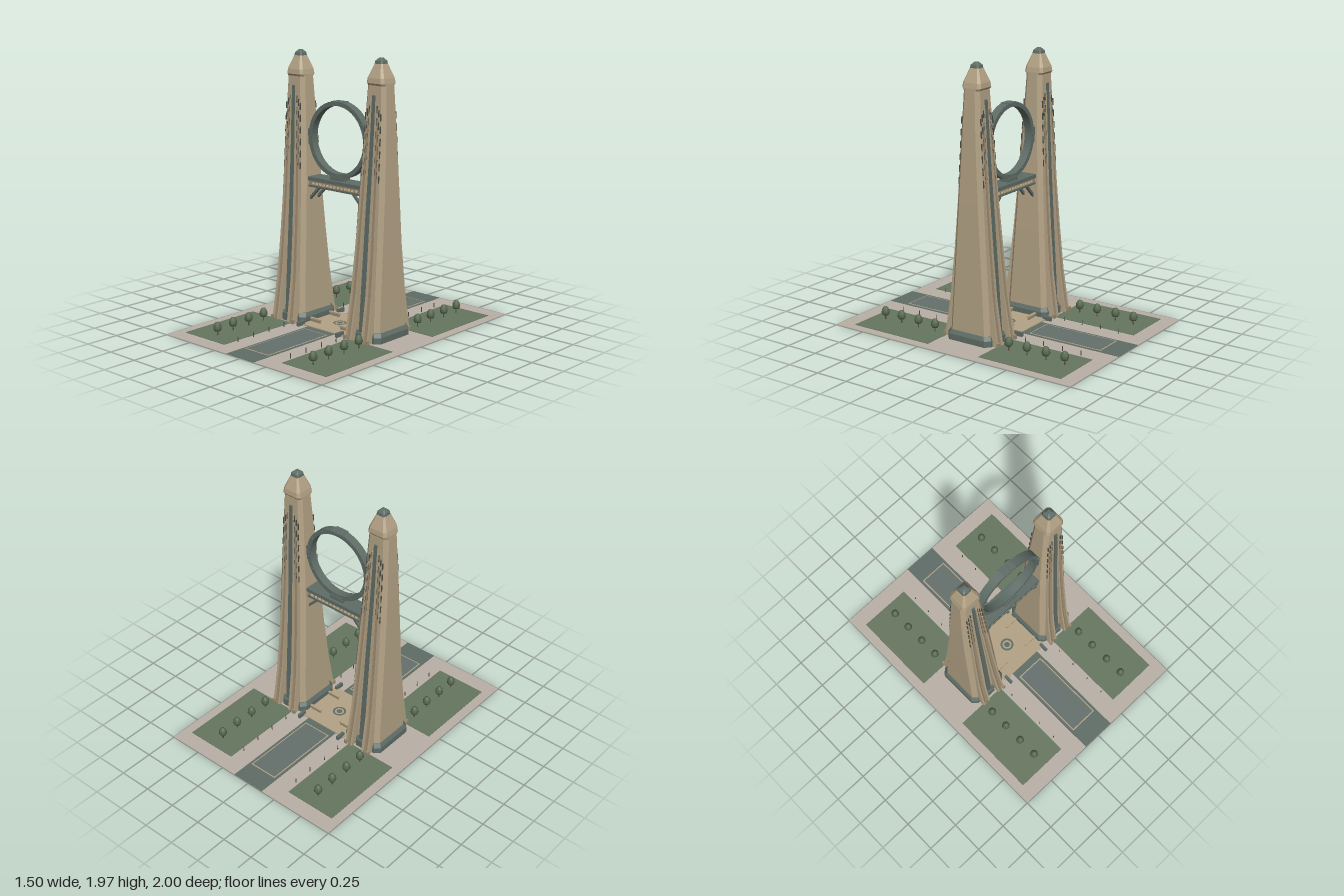
import * as THREE from 'three';

const mat = (name, color) => {
  const m = new THREE.MeshStandardMaterial({ color });
  m.name = name;
  return m;
};

export function createModel() {
  const M = {
    stone: mat('sandstone', 0xb3a285),
    rib: mat('rib stone', 0x9c8b70),
    metal: mat('grey green metal', 0x5f6c66),
    dark: mat('dark slit', 0x4b4d45),
    paving: mat('paving', 0xb9afa5),
    lawn: mat('lawn', 0x66765f),
    pool: mat('pool water', 0x64706d),
    glow: mat('warm window', 0xd6c59c),
    leaf: mat('foliage', 0x56694f),
    trunk: mat('bark', 0x5f5140),
  };
  const root = new THREE.Group();
  root.name = 'twinTowerMonument';

  const add = (parent, name, geo, m, x = 0, y = 0, z = 0) => {
    const mesh = new THREE.Mesh(geo, m);
    mesh.name = name;
    mesh.position.set(x, y, z);
    parent.add(mesh);
    return mesh;
  };
  const box = (parent, name, m, w, h, d, x, y, z) =>
    add(parent, name, new THREE.BoxGeometry(w, h, d), m, x, y, z);

  // Flat-faced loft through horizontal rings, closed at both ends
  const loft = (rings) => {
    const out = [];
    const tri = (a, b, c) => out.push(...a, ...b, ...c);
    const n = rings[0].length;
    for (let r = 0; r < rings.length - 1; r++) {
      for (let i = 0; i < n; i++) {
        const j = (i + 1) % n, lo = rings[r], hi = rings[r + 1];
        tri(lo[i], lo[j], hi[j]);
        tri(lo[i], hi[j], hi[i]);
      }
    }
    const top = rings[rings.length - 1], bot = rings[0];
    for (let i = 1; i < n - 1; i++) {
      tri(top[0], top[i], top[i + 1]);
      tri(bot[0], bot[i + 1], bot[i]);
    }
    const g = new THREE.BufferGeometry();
    g.setAttribute('position', new THREE.Float32BufferAttribute(out, 3));
    g.computeVertexNormals();
    return g;
  };
  const rect = (x, y, z, w, d) => [
    [x - w, y, z + d], [x + w, y, z + d], [x + w, y, z - d], [x - w, y, z - d]];
  const octagon = (x, y, w, d, c) => [
    [-w + c, d], [w - c, d], [w, d - c], [w, -d + c],
    [w - c, -d], [-w + c, -d], [-w, -d + c], [-w, d - c],
  ].map(([a, b]) => [x + a, y, b]);

  // Tower profile: y, centre x, half width, half depth, outer rib depth
  const profile = [
    [0.00, 0.357, 0.143, 0.172, 0.232],
    [0.10, 0.358, 0.140, 0.166, 0.215],
    [0.33, 0.360, 0.134, 0.152, 0.180],
    [0.65, 0.363, 0.127, 0.131, 0.149],
    [1.00, 0.367, 0.118, 0.109, 0.121],
    [1.30, 0.372, 0.106, 0.091, 0.102],
    [1.50, 0.375, 0.097, 0.081, 0.090],
    [1.80, 0.378, 0.081, 0.066, 0.073],
  ];
  const at = (y) => {
    let k = 0;
    while (k < profile.length - 2 && profile[k + 1][0] < y) k++;
    const a = profile[k], b = profile[k + 1], t = (y - a[0]) / (b[0] - a[0]);
    return a.map((v, i) => v + (b[i] - v) * t);
  };
  const levels = (y0, y1) => [y0, ...profile.map((p) => p[0]).filter((y) => y > y0 && y < y1), y1];

  for (const s of [1, -1]) {
    const tower = new THREE.Group();
    tower.name = s > 0 ? 'leftTower' : 'rightTower';
    root.add(tower);

    add(tower, 'shaft', loft(profile.map(([y, cx, w, d]) =>
      octagon(s * cx, y, w, d, 0.02 + w * 0.08))), M.stone);
    add(tower, 'plinth', loft([[0, 0.162, 0.185], [0.048, 0.162, 0.185], [0.075, 0.148, 0.172]]
      .map(([y, w, d]) => octagon(s * 0.358, y, w, d, 0.035))), M.metal);
    add(tower, 'crown', loft([[1.785, 0.079, 0.066], [1.8, 0.08, 0.077], [1.835, 0.073, 0.073], [1.935, 0.034, 0.034]]
      .map(([y, w, d]) => octagon(s * 0.378, y, w, d, w * 0.25))), M.stone);
    add(tower, 'finial', loft([[1.93, 0.037], [1.95, 0.033], [1.97, 0.012]]
      .map(([y, w]) => octagon(s * 0.378, y, w, w, w * 0.3))), M.metal);

    for (const f of [1, -1]) {
      // Central metal spine
      add(tower, 'spine', loft(levels(0.03, 1.72).map((y) => {
        const [, cx, , d] = at(y);
        return rect(s * cx, y, f * d, 0.019 - y * 0.005, 0.011);
      })), M.metal);
      box(tower, 'spineFoot', M.metal, 0.06, 0.06, 0.04, s * 0.357, 0.03, f * 0.18);

      for (const e of [1, -1]) {
        // Flaring ribs, spreading towards the ground
        for (let i = 0; i < 3; i++) {
          const offset = (y) => {
            const t = y / 1.7;
            return e * ((0.052 + 0.025 * i) * (1 - t) + (0.022 + 0.016 * i) * t);
          };
          add(tower, 'rib', loft(levels(0, 1.66 - i * 0.1).map((y) => {
            const [, cx, , d, o] = at(y);
            const inner = d - 0.02, outer = o - 0.002 * i;
            return rect(s * cx + offset(y), y, f * (inner + outer) / 2, 0.0075 - y * 0.0015, (outer - inner) / 2);
          })), i === 1 ? M.rib : M.stone);

          // Window slits between the ribs
          for (let k = 0; k < 6; k++) {
            const y = 1.2 + k * 0.085 - i * 0.025, [, cx, , d] = at(y);
            const slit = box(tower, 'windowSlit', M.dark, 0.006, 0.05, 0.008,
              s * cx + offset(y) + e * 0.0095, y, f * (d + 0.002));
            slit.rotation.x = -f * 0.06;
          }
        }
        box(tower, 'ribFoot', M.rib, 0.022, 0.035, 0.018, s * 0.357 + e * 0.102, 0.0175, f * 0.23);
      }
    }
  }

  // Great ring with its bolts and clamps
  const ring = new THREE.Group();
  ring.name = 'ring';
  ring.position.y = 1.36;
  root.add(ring);
  const hoop = new THREE.Shape().absarc(0, 0, 0.275, 0, Math.PI * 2);
  hoop.holes.push(new THREE.Path().absarc(0, 0, 0.243, 0, Math.PI * 2, true));
  add(ring, 'hoop', new THREE.ExtrudeGeometry(hoop, { depth: 0.06, bevelEnabled: false, curveSegments: 32 }),
    M.metal, 0, 0, -0.03);
  for (let i = 0; i < 12; i++) {
    const a = i * Math.PI / 6;
    const bolt = add(ring, 'bolt', new THREE.CylinderGeometry(0.01, 0.01, 0.07, 8), M.metal,
      0.259 * Math.cos(a), 0.259 * Math.sin(a), 0);
    bolt.rotation.x = Math.PI / 2;
  }
  for (const s of [1, -1]) {
    box(ring, 'sideClamp', M.metal, 0.035, 0.11, 0.08, s * 0.272, 0, 0);
    box(ring, 'endClamp', M.metal, 0.1, 0.014, 0.075, 0, s * 0.267, 0);
  }

  // Sky bridge
  const bridge = new THREE.Group();
  bridge.name = 'skyBridge';
  root.add(bridge);
  box(bridge, 'deck', M.metal, 0.56, 0.026, 0.13, 0, 1.058, 0);
  box(bridge, 'girder', M.rib, 0.54, 0.034, 0.114, 0, 1.028, 0);
  box(bridge, 'soffit', M.metal, 0.54, 0.014, 0.122, 0, 1.005, 0);
  box(bridge, 'ringSaddle', M.metal, 0.12, 0.022, 0.08, 0, 1.08, 0);
  for (const f of [1, -1]) {
    for (let i = 0; i < 13; i++)
      box(bridge, 'bridgeWindow', M.glow, 0.02, 0.014, 0.004, (i - 6) * 0.034, 1.026, f * 0.058);
    for (const s of [1, -1]) {
      const strut = box(bridge, 'strut', M.metal, 0.15, 0.018, 0.018, s * 0.21, 0.952, f * 0.04);
      strut.rotation.z = -s * 0.79;
    }
  }

  // Ground, plaza, lawns and pools
  const grounds = new THREE.Group();
  grounds.name = 'grounds';
  root.add(grounds);
  box(grounds, 'pavement', M.paving, 1.5, 0.004, 2, 0, 0.002, 0);
  box(grounds, 'walkway', M.metal, 0.264, 0.003, 2, 0, 0.0045, 0);
  box(grounds, 'plaza', M.stone, 0.42, 0.012, 0.4, 0, 0.006, 0);
  const medallion = add(grounds, 'medallionRing', new THREE.RingGeometry(0.035, 0.05, 32), M.metal, 0, 0.0135, 0);
  const disc = add(grounds, 'medallionCentre', new THREE.CircleGeometry(0.022, 24), M.metal, 0, 0.0135, 0);
  medallion.rotation.x = disc.rotation.x = -Math.PI / 2;

  const crown = [[0, 0.036], [0.022, 0.04], [0.03, 0.055], [0.027, 0.08], [0.015, 0.1], [0, 0.106]]
    .map(([r, y]) => new THREE.Vector2(r, y));
  const crownGeo = new THREE.LatheGeometry(crown, 10);
  for (const f of [1, -1]) {
    box(grounds, 'poolRim', M.stone, 0.224, 0.004, 0.59, 0, 0.006, f * 0.55);
    box(grounds, 'pool', M.pool, 0.206, 0.004, 0.572, 0, 0.0075, f * 0.55);
    for (const s of [1, -1]) {
      box(grounds, 'lawn', M.lawn, 0.4, 0.004, 0.665, s * 0.48, 0.005, f * 0.55);
      box(grounds, 'bench', M.stone, 0.105, 0.01, 0.018, s * 0.142, 0.036, f * 0.103);
      box(grounds, 'benchBase', M.rib, 0.09, 0.022, 0.012, s * 0.142, 0.021, f * 0.103);
      box(grounds, 'plazaWall', M.metal, 0.02, 0.035, 0.07, s * 0.188, 0.0175, f * 0.213);
      for (const z of [0.32, 0.47, 0.625, 0.775]) {
        add(grounds, 'treeTrunk', new THREE.CylinderGeometry(0.004, 0.005, 0.045, 6), M.trunk, s * 0.463, 0.0225, f * z);
        add(grounds, 'treeCrown', crownGeo, M.leaf, s * 0.463, 0, f * z);
        add(grounds, 'lampPost', new THREE.CylinderGeometry(0.003, 0.004, 0.04, 6), M.dark, s * 0.255, 0.02, f * z);
      }
    }
  }
  return root;
}
